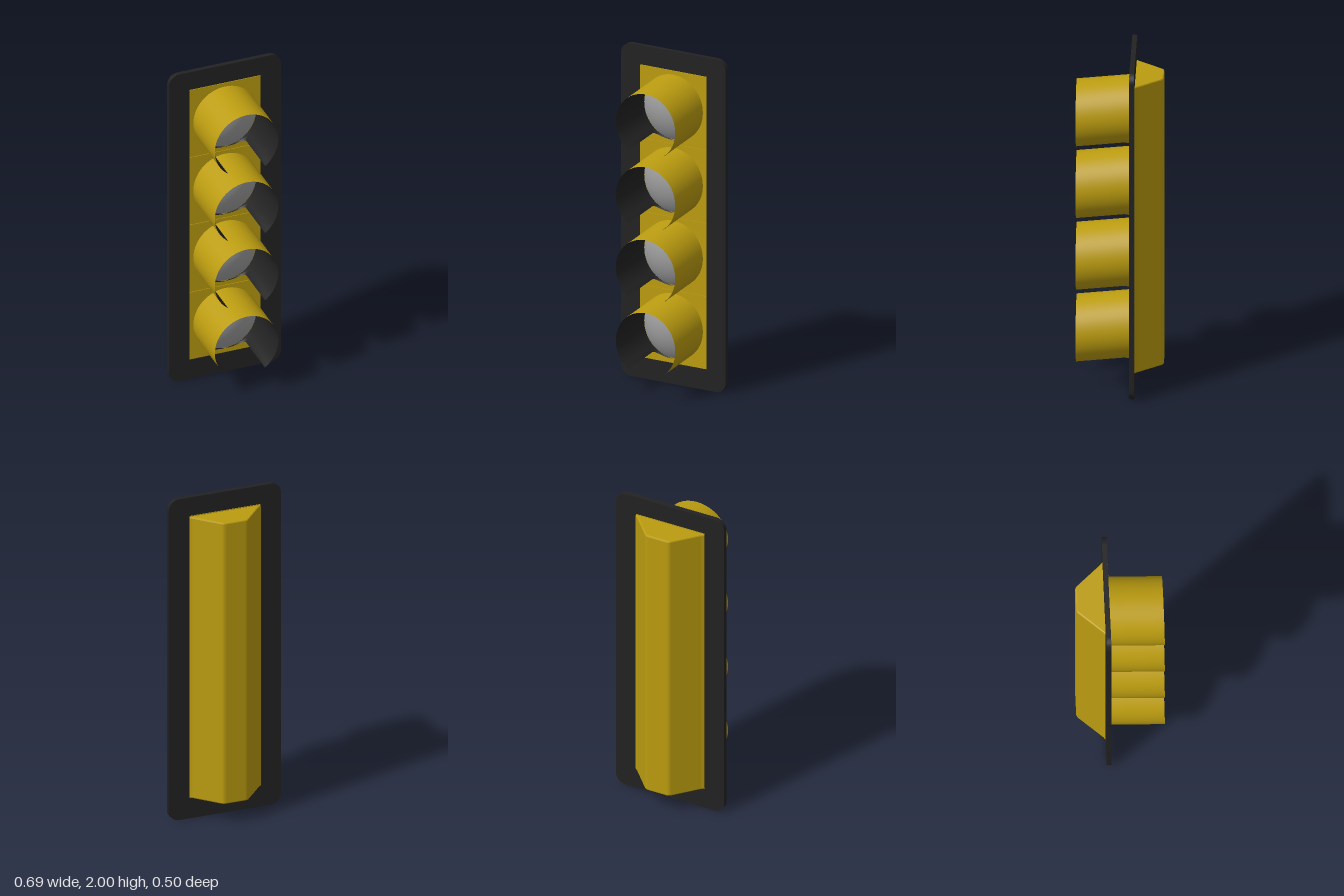
import * as THREE from 'three';

const mat = (name, color, side = THREE.FrontSide) => {
  const m = new THREE.MeshStandardMaterial({ color, side });
  m.name = name;
  return m;
};

// Sheet of a hooded visor: a drooping tube, open below, closing to a full ring at its base
const R = 0.197, BASE = -0.058, TIP = 0.25, DROOP = 0.03, FILLET = 0.035, GAP = 0.62;
function visorSheet(thickness, inward) {
  const nu = 56, depths = [0, 0.003, 0.008, 0.015, 0.024, FILLET, 0.12, 0.21, TIP - BASE];
  const pos = [], idx = [];
  depths.forEach((d, j) => {
    const t = Math.min(d / FILLET, 1);
    const gap = GAP * Math.sqrt(1 - (1 - t) ** 2);
    for (let i = 0; i <= nu; i++) {
      const a = -Math.PI / 2 + gap + (i / nu) * (2 * Math.PI - 2 * gap);
      // the two sheets meet along the lower edges and the front rim
      const edge = i === 0 || i === nu || j === depths.length - 1;
      const r = R - (edge ? 0 : thickness);
      pos.push(r * Math.cos(a), r * Math.sin(a) - DROOP * d / (TIP - BASE), BASE + d);
    }
  });
  const w = nu + 1;
  for (let j = 0; j < depths.length - 1; j++) {
    for (let i = 0; i < nu; i++) {
      const a = j * w + i, b = a + 1, c = a + w, d = c + 1;
      if (inward) idx.push(a, c, b, b, c, d);
      else idx.push(a, b, c, b, d, c);
    }
  }
  const g = new THREE.BufferGeometry();
  g.setAttribute('position', new THREE.Float32BufferAttribute(pos, 3));
  g.setIndex(idx);
  g.computeVertexNormals();
  return g;
}

export function createModel() {
  const group = new THREE.Group();
  const yellow = mat('housing yellow', 0xbb9c10);
  const black = mat('matte black', 0x222222);
  const grey = mat('lens grey', 0xa0a0a0);
  const add = (name, geometry, material, x = 0, y = 0, z = 0, parent = group) => {
    const m = new THREE.Mesh(geometry, material);
    m.name = name;
    m.position.set(x, y, z);
    parent.add(m);
    return m;
  };

  // Backplate with rounded corners and a rectangular opening
  const w = 0.347, r = 0.065;
  const plate = new THREE.Shape();
  plate.moveTo(-w + r, 0);
  plate.lineTo(w - r, 0);
  plate.absarc(w - r, r, r, -Math.PI / 2, 0);
  plate.absarc(w - r, 2 - r, r, 0, Math.PI / 2);
  plate.absarc(-w + r, 2 - r, r, Math.PI / 2, Math.PI);
  plate.absarc(-w + r, r, r, Math.PI, Math.PI * 1.5);
  const hole = new THREE.Path();
  hole.moveTo(-0.22, 0.125);
  hole.lineTo(-0.22, 1.885);
  hole.lineTo(0.22, 1.885);
  hole.lineTo(0.22, 0.125);
  hole.closePath();
  plate.holes.push(hole);
  add('backplate', new THREE.ExtrudeGeometry(plate, { depth: 0.028, bevelEnabled: false, curveSegments: 8 }),
    black, 0, 0, -0.088);

  // Tapered rear housing, extruded upwards
  const s = new THREE.Shape();
  s.moveTo(-0.212, 0.07);
  s.lineTo(0.212, 0.07);
  s.lineTo(0.212, 0.087);
  s.lineTo(0.2, 0.097);
  s.lineTo(0.078, 0.234);
  s.quadraticCurveTo(0.07, 0.242, 0.058, 0.242);
  s.lineTo(-0.058, 0.242);
  s.quadraticCurveTo(-0.07, 0.242, -0.078, 0.234);
  s.lineTo(-0.2, 0.097);
  s.lineTo(-0.212, 0.087);
  s.closePath();
  const body = new THREE.ExtrudeGeometry(s, {
    depth: 1.736, bevelThickness: 0.008, bevelSize: 0.008, bevelSegments: 2, curveSegments: 4,
  });
  body.rotateX(-Math.PI / 2);
  add('rearHousing', body, yellow, 0, 0.135, 0);

  // Four signal sections: door, lens and visor
  const outer = visorSheet(0, false), inner = visorSheet(0.005, true);
  const door = new THREE.BoxGeometry(0.44, 0.437, 0.03);
  const rise = 0.065, lensR = 0.19;
  const sphereR = (lensR * lensR + rise * rise) / (2 * rise);
  const lens = new THREE.SphereGeometry(sphereR, 40, 10, 0, Math.PI * 2, 0, Math.asin(lensR / sphereR));
  lens.rotateX(Math.PI / 2);
  lens.translate(0, 0, rise - sphereR);
  for (let i = 0; i < 4; i++) {
    const section = new THREE.Group();
    section.name = 'signalSection' + (i + 1);
    section.position.y = 0.348 + i * 0.4385;
    group.add(section);
    add('door', door, yellow, 0, 0.345 + i * 0.44 - section.position.y, -0.073, section);
    add('lens', lens, grey, 0, 0, -0.057, section);
    add('visorOuter', outer, yellow, 0, 0, 0, section);
    add('visorLining', inner, black, 0, 0, 0, section);
  }
  return group;
}
